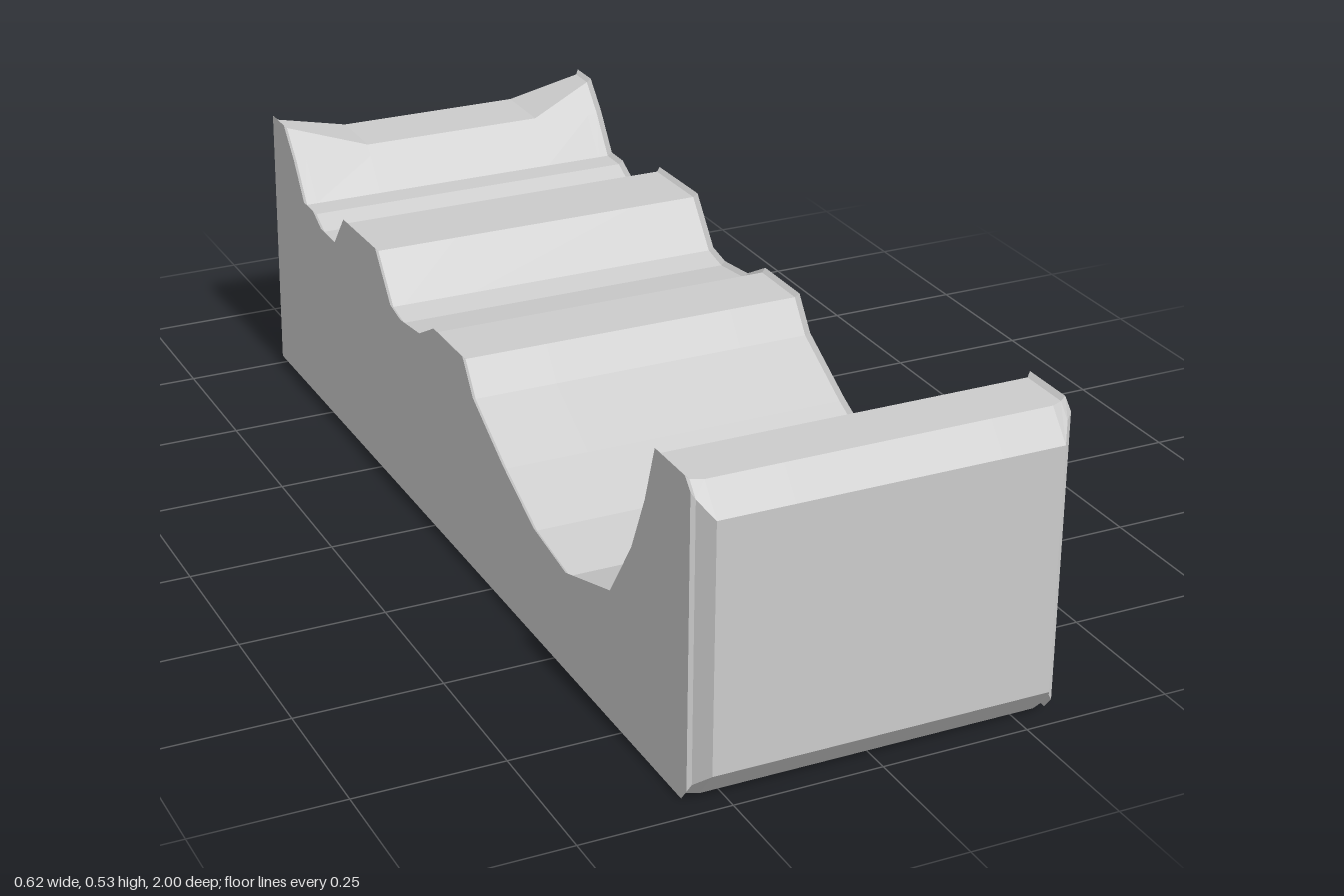
import * as THREE from 'three';

const mat = new THREE.MeshStandardMaterial({ color: 0xcccccc, flatShading: true });

// Side outline as [z, y], from the front bottom, over the top, to the rear bottom
const outline = [
  [0.96, 0], [1, 0.05], [1, 0.465], [0.96, 0.512], [0.86, 0.512],
  [0.83, 0.42], [0.785, 0.32], [0.71, 0.21], [0.545, 0.16], [0.42, 0.18], [0.3, 0.235],
  [0.175, 0.305], [0.135, 0.36], [0.015, 0.36], [-0.05, 0.325], [-0.14, 0.315], [-0.19, 0.325],
  [-0.255, 0.405], [-0.405, 0.402], [-0.455, 0.34], [-0.53, 0.34], [-0.57, 0.36], [-0.62, 0.36],
  [-0.67, 0.43], [-0.715, 0.478], [-0.765, 0.478], [-0.772, 0],
];
const n = outline.length;

// Move every corner of the outline inwards by d
function inset(points, d) {
  return points.map(([z, y], i) => {
    const p = points[(i + n - 1) % n], q = points[(i + 1) % n];
    const l1 = Math.hypot(z - p[0], y - p[1]), l2 = Math.hypot(q[0] - z, q[1] - y);
    const a = [-(y - p[1]) / l1, (z - p[0]) / l1], b = [-(q[1] - y) / l2, (q[0] - z) / l2];
    const k = d / (1 + a[0] * b[0] + a[1] * b[1]);
    return [z + (a[0] + b[0]) * k, y + (a[1] + b[1]) * k];
  });
}

// One cross-section: frontZ pulls the front face back, dip lowers the rear ridge
function section(x, { frontZ = 1, dip = 0, bevel = 0 }) {
  const pts = outline.map(([z, y]) => [z, y]);
  const t = (1 - frontZ) / 0.04;
  pts[1] = [frontZ, 0.05 - 0.035 * t];
  pts[2] = [frontZ, 0.465 + 0.035 * t];
  pts[0][0] = pts[3][0] = 0.96 - 0.012 * t;
  const mix = (i, z, y) => {
    pts[i] = [pts[i][0] + (z - pts[i][0]) * dip, pts[i][1] + (y - pts[i][1]) * dip];
  };
  mix(23, -0.665, 0.418);
  mix(24, -0.68, 0.435);
  mix(25, -0.8, 0.435);
  mix(26, -0.775, 0);
  const out = bevel ? inset(pts, -bevel) : pts;
  return { x, pts: out };
}

function buildBody() {
  const cols = [
    section(-0.311, { frontZ: 0.962, bevel: 0.007 }),
    section(-0.304, { frontZ: 0.972 }),
    section(-0.285, { dip: 0.13 }),
    section(-0.16, { dip: 1 }),
    section(0.18, { dip: 1 }),
    section(0.285, { dip: 0.15 }),
    section(0.304, { frontZ: 0.972 }),
    section(0.311, { frontZ: 0.962, bevel: 0.007 }),
  ];
  const position = [], index = [];
  for (const c of cols) for (const [z, y] of c.pts) position.push(c.x, y, z);

  // Skin between neighbouring sections
  for (let i = 0; i < cols.length - 1; i++) {
    for (let j = 0; j < n; j++) {
      const k = (j + 1) % n;
      const a = i * n + j, b = a + n, c = (i + 1) * n + k, d = i * n + k;
      index.push(a, b, c, a, c, d);
    }
  }
  // Flat sides
  const contour = cols[0].pts.map(([z, y]) => new THREE.Vector2(-z, y));
  const last = (cols.length - 1) * n;
  for (const [a, b, c] of THREE.ShapeUtils.triangulateShape(contour, [])) {
    const ccw = THREE.ShapeUtils.area([contour[a], contour[b], contour[c]]) > 0;
    const [p, q] = ccw ? [b, c] : [c, b];
    index.push(last + a, last + p, last + q, a, q, p);
  }
  const geo = new THREE.BufferGeometry();
  geo.setAttribute('position', new THREE.Float32BufferAttribute(position, 3));
  geo.setIndex(index);
  const flat = geo.toNonIndexed();
  flat.computeVertexNormals();
  return flat;
}

// Pointed wedge behind the body, drawn as (-z, y) and extruded along x
function buildWedge() {
  const shape = new THREE.Shape([
    [0.77, 0.01], [0.775, 0.005], [0.862, 0.125], [1, 0.178], [0.8, 0.435], [0.78, 0.42],
  ].map(([x, y]) => new THREE.Vector2(x, y)));
  const geo = new THREE.ExtrudeGeometry(shape, { depth: 0.34, bevelEnabled: false });
  return geo.rotateY(Math.PI / 2).translate(-0.16, 0, 0);
}

export function createModel() {
  const group = new THREE.Group();
  group.name = 'contouredBlock';
  const add = (name, geo) => {
    const mesh = new THREE.Mesh(geo, mat);
    mesh.name = name;
    group.add(mesh);
  };
  add('body', buildBody());
  add('rearWedge', buildWedge());
  return group;
}
